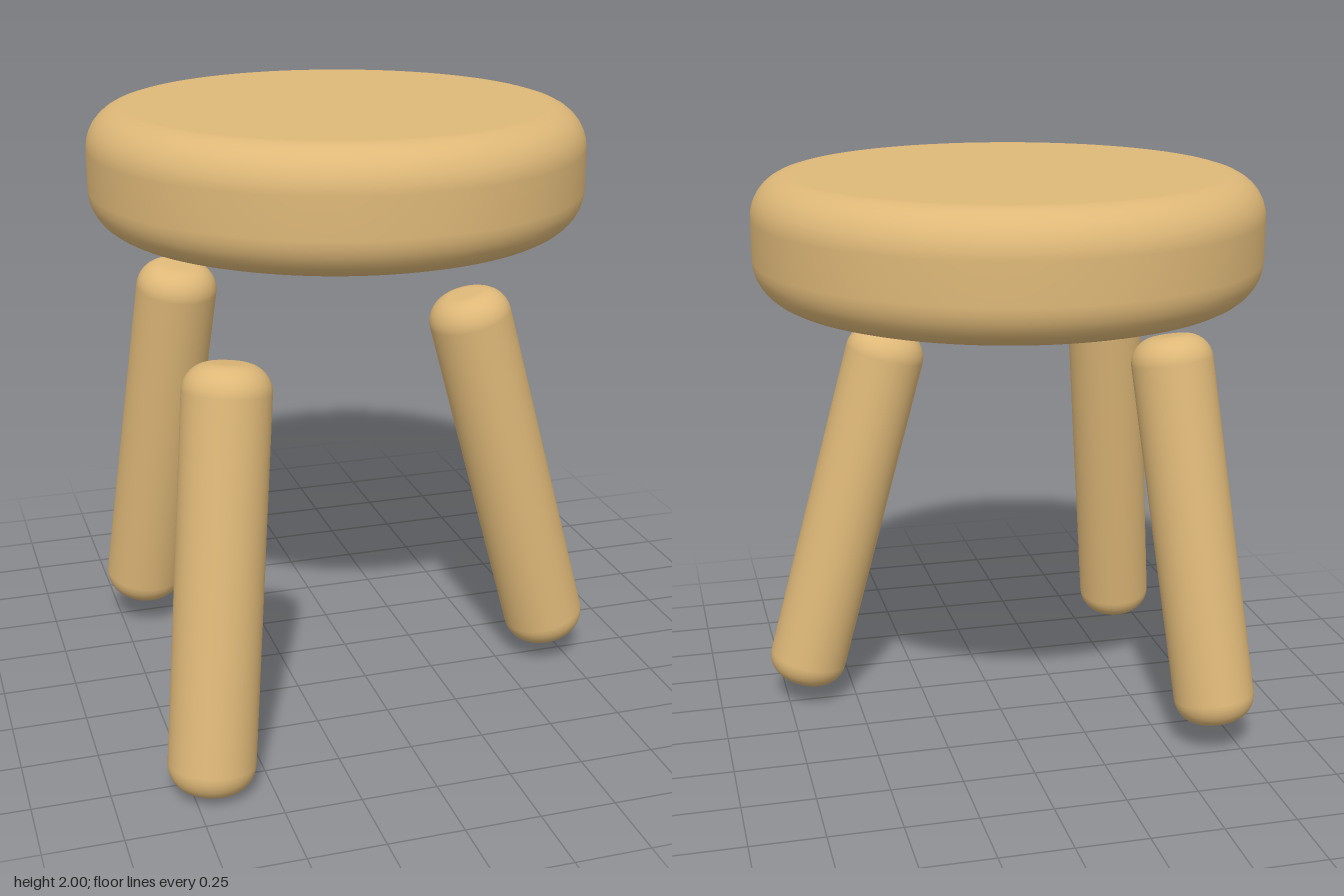
import * as THREE from 'three';

// Solid disc or rod, centred on the origin, with rounded rims
function roundedCylinder(radius, height, fillet, segments) {
  const h = height / 2;
  const points = [new THREE.Vector2(0, -h)];
  const steps = 8;
  for (const side of [-1, 1]) {
    for (let i = 0; i <= steps; i++) {
      const a = (side < 0 ? i / steps - 1 : i / steps) * Math.PI / 2;
      points.push(new THREE.Vector2(
        radius - fillet + Math.cos(a) * fillet,
        side * (h - fillet) + Math.sin(a) * fillet));
    }
  }
  points.push(new THREE.Vector2(0, h));
  return new THREE.LatheGeometry(points, segments);
}

export function createModel() {
  const group = new THREE.Group();
  const wood = new THREE.MeshStandardMaterial({ color: 0xdeb878 });
  wood.name = 'lightWood';

  // Thick round seat
  const seat = new THREE.Mesh(roundedCylinder(0.845, 0.415, 0.14, 96), wood);
  seat.name = 'seat';
  seat.position.set(0, 1.7925, -0.1);
  group.add(seat);

  // Three splayed legs, separate from the seat
  const legGeometry = roundedCylinder(0.14, 1.365, 0.09, 48);
  const up = new THREE.Vector3(0, 1, 0);
  const legs = [
    { name: 'leftLeg', centre: [0.517, 0.738, 0.265], axis: [-0.262, 0.965, 0] },
    { name: 'frontRightLeg', centre: [-0.627, 0.68, 0.722], axis: [0.098, 0.984, -0.147] },
    { name: 'backRightLeg', centre: [-0.6, 0.773, -0.345], axis: [0.1, 0.98, 0.176] },
  ];
  for (const { name, centre, axis } of legs) {
    const leg = new THREE.Mesh(legGeometry, wood);
    leg.name = name;
    leg.position.set(...centre);
    leg.quaternion.setFromUnitVectors(up, new THREE.Vector3(...axis).normalize());
    group.add(leg);
  }
  return group;
}
